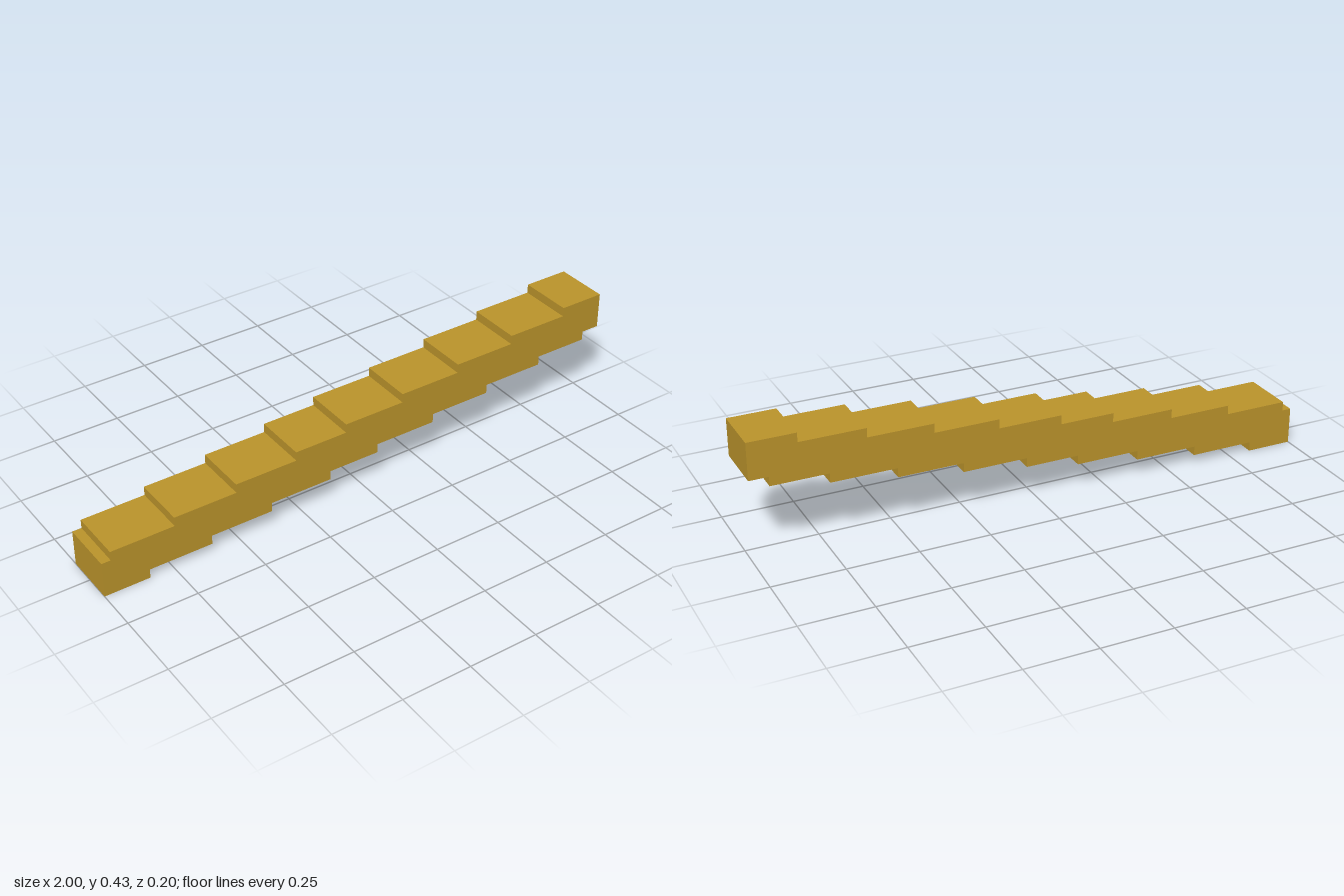
import * as THREE from 'three';

export function createModel() {
  const group = new THREE.Group();
  group.name = 'steppedBeam';
  const gold = new THREE.MeshStandardMaterial({ color: 0xba932b });
  gold.name = 'gold';

  const rise = 0.0329, thickness = 0.131, depth = 0.196;
  // Riser positions along the underside and the top
  const lower = [-0.836, -0.606, -0.377, -0.147, 0.045, 0.275, 0.505, 0.735, 0.933];
  const upper = [-0.967, -0.737, -0.508, -0.279, -0.083, 0.145, 0.375, 0.605, 0.834];

  // Stair-stepped side profile, counter-clockwise
  const points = [new THREE.Vector2(-1, 0)];
  lower.forEach((x, i) => {
    points.push(new THREE.Vector2(x, i * rise), new THREE.Vector2(x, (i + 1) * rise));
  });
  points.push(new THREE.Vector2(1, 9 * rise), new THREE.Vector2(1, 9 * rise + thickness));
  for (let i = upper.length - 1; i >= 0; i--) {
    points.push(
      new THREE.Vector2(upper[i], (i + 1) * rise + thickness),
      new THREE.Vector2(upper[i], i * rise + thickness)
    );
  }
  points.push(new THREE.Vector2(-1, thickness));

  // Profile extruded across the beam's depth
  const geometry = new THREE.ExtrudeGeometry(new THREE.Shape(points), { depth, bevelEnabled: false });
  geometry.translate(0, 0, -depth / 2);
  const beam = new THREE.Mesh(geometry, gold);
  beam.name = 'beam';
  group.add(beam);
  return group;
}
